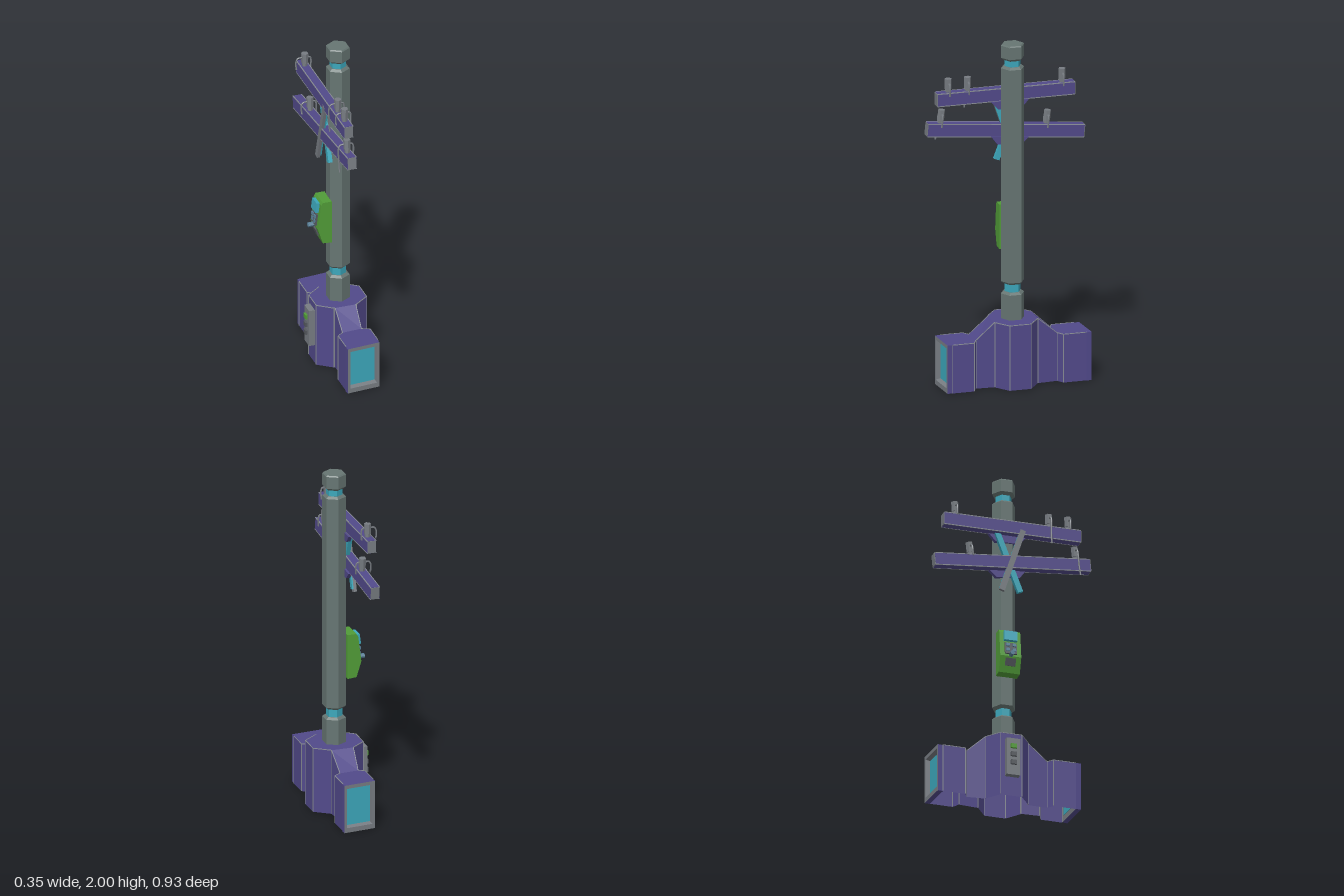
import * as THREE from 'three';

const mat = (name, color) => {
  const m = new THREE.MeshStandardMaterial({ color, flatShading: true });
  m.name = name;
  return m;
};

export function createModel() {
  const root = new THREE.Group();
  root.name = 'utilityPole';
  const stone = mat('pole grey', 0x667572);
  const metal = mat('metal grey', 0x777c82);
  const trim = mat('worn edge grey', 0x888c94);
  const dark = mat('dark grey', 0x55595f);
  const purple = mat('purple', 0x51498a);
  purple.side = THREE.DoubleSide;
  const teal = mat('teal', 0x3ca7bb);
  const green = mat('green', 0x519c38);
  const blue = mat('blue grey', 0x587f98);

  const add = (name, geo, material, pos = [0, 0, 0], parent = root) => {
    const m = new THREE.Mesh(geo, material);
    m.name = name;
    m.position.set(...pos);
    parent.add(m);
    return m;
  };
  const box = (name, size, material, pos, parent) =>
    add(name, new THREE.BoxGeometry(...size), material, pos, parent);
  // outline extruded along z, centred on z
  const plateShape = (name, pts, z, depth, material) => {
    const s = new THREE.Shape(pts.map(([a, b]) => new THREE.Vector2(a, b)));
    const g = new THREE.ExtrudeGeometry(s, { depth, bevelEnabled: false }).translate(0, 0, -depth / 2);
    return add(name, g, material, [0, 0, z]);
  };
  const triangles = (v) => {
    const g = new THREE.BufferGeometry();
    g.setAttribute('position', new THREE.Float32BufferAttribute(v, 3));
    g.computeVertexNormals();
    return g;
  };
  // flat convex face as a fan
  const fan = (pts) => {
    const v = [];
    for (let i = 1; i < pts.length - 1; i++) v.push(...pts[0], ...pts[i], ...pts[i + 1]);
    return triangles(v);
  };
  // strip of quads between rectangular rings [halfWidth, y0, y1, z]
  const loft = (rings) => {
    const v = [];
    const corners = ([w, y0, y1, z]) => [[-w, y0, z], [w, y0, z], [w, y1, z], [-w, y1, z]];
    for (let i = 0; i < rings.length - 1; i++) {
      const a = corners(rings[i]), b = corners(rings[i + 1]);
      for (let k = 0; k < 4; k++) {
        const n = (k + 1) % 4;
        v.push(...a[k], ...a[n], ...b[n], ...a[k], ...b[n], ...b[k]);
      }
    }
    return triangles(v);
  };
  // thin worn strip along an edge
  const edge = (a, b) => {
    const p = new THREE.Vector3(...a), q = new THREE.Vector3(...b);
    const m = box('wornEdge', [0.004, 0.004, p.distanceTo(q)], trim, p.clone().lerp(q, 0.5).toArray());
    m.lookAt(q);
  };

  // Hexagonal pole, in sections with teal collars
  const PX = 0.0222, PZ = -0.015, R = 0.068;
  const hex = (name, y0, y1, r0, r1, material) =>
    add(name, new THREE.CylinderGeometry(r1, r0, y1 - y0, 6), material, [PX, (y0 + y1) / 2, PZ]);
  hex('poleFoot', 0.37, 0.53, R, R, stone);
  hex('poleFootTaper', 0.53, 0.542, R, 0.052, stone);
  hex('lowerCollar', 0.54, 0.592, 0.047, 0.047, teal);
  hex('poleShaftBottom', 0.588, 0.602, 0.052, R, stone);
  hex('poleShaft', 0.602, 1.86, R, R, stone);
  hex('poleShaftTop', 1.86, 1.872, R, 0.052, stone);
  hex('upperCollar', 1.87, 1.912, 0.047, 0.047, teal);
  hex('capTaper', 1.908, 1.922, 0.052, R, stone);
  hex('cap', 1.922, 1.993, R, R, stone);
  hex('capTop', 1.993, 2, R, R - 0.006, stone);

  // Hollow base, open below: each side is a wall along an outline of [x, z, height]
  const H = 0.383, L = 0.285;
  const rightSide = [[0.125, 0.365, L], [0.125, 0.238, L], [0.08, 0.216, L], [0.085, 0.108, H],
    [0.09, 0.108, H], [0.172, 0.045, H], [0.172, -0.08, H], [0.085, -0.145, H],
    [0.076, -0.26, L], [0.116, -0.285, L], [0.116, -0.42, L]];
  const leftSide = [[-0.07, 0.382, L], [-0.07, 0.25, L], [-0.035, 0.224, L], [-0.038, 0.108, H],
    [-0.045, 0.108, H], [-0.128, 0.045, H], [-0.128, -0.08, H], [-0.045, -0.145, H],
    [-0.035, -0.252, L], [-0.07, -0.27, L], [-0.07, -0.402, L]];
  const up = ([x, z, h]) => [x, h, z];
  const wall = (name, line) => {
    for (let i = 0; i < line.length - 1; i++) {
      const [a, b] = [line[i], line[i + 1]];
      add(name, fan([[a[0], 0, a[1]], [b[0], 0, b[1]], up(b), up(a)]), purple);
      edge(up(a), up(b));
      edge([a[0], 0.002, a[1]], up(a));
    }
  };
  wall('baseRightWall', rightSide);
  wall('baseLeftWall', [...leftSide].reverse());
  // tops between matching stretches of the two sides
  for (const [name, i, j] of [['frontWingTop', 0, 2], ['frontNeckTop', 2, 3], ['bodyTop', 4, 7],
    ['backNeckTop', 7, 8], ['backWingTop', 8, 10]]) {
    add(name, fan([...rightSide.slice(i, j + 1), ...leftSide.slice(i, j + 1).reverse()].map(up)), purple);
  }

  // Recessed window at each wing end
  const windowEnd = (name, pos, turn, w) => {
    const g = new THREE.Group();
    g.name = name;
    g.position.set(...pos);
    g.rotation.y = turn;
    root.add(g);
    add('windowSurround', loft([[w, 0, L, -0.031], [w, 0, L, 0]]), purple, [0, 0, 0], g);
    add('windowFrame', loft([[w, 0, L, 0], [w - 0.015, 0.028, 0.264, 0],
      [w - 0.019, 0.036, 0.256, -0.026]]), metal, [0, 0, 0], g);
    add('windowFrameBack', loft([[w - 0.019, 0.036, 0.256, -0.031], [w, 0, L, -0.031]]), metal, [0, 0, 0], g);
    box('windowPane', [2 * w - 0.036, 0.222, 0.006], teal, [0, 0.146, -0.029], g);
  };
  windowEnd('frontWindow', [0.0275, 0, 0.4035], 0.087, 0.098);
  windowEnd('backWindow', [0.023, 0, -0.441], Math.PI + 0.097, 0.094);

  // Switch panel on the base
  box('switchPanel', [0.036, 0.225, 0.08], metal, [-0.145, 0.228, -0.016]);
  [0.29, 0.24, 0.19].forEach((y, i) =>
    box('switchButton', [0.014, 0.026, 0.034], i === 0 ? green : dark, [-0.169, y, -0.016]));

  // Call box on the pole
  plateShape('callBox', [[-0.035, 0.772], [-0.088, 0.776], [-0.117, 0.868], [-0.098, 1.02],
    [-0.088, 1.036], [-0.035, 1.036]], -0.017, 0.124, green);
  const tilted = (name, size, material, pos) => {
    box(name, size, material, pos).rotation.z = -0.13;
  };
  tilted('callScreen', [0.022, 0.06, 0.076], teal, [-0.109, 0.993, -0.017]);
  tilted('keypad', [0.014, 0.07, 0.07], dark, [-0.113, 0.915, -0.017]);
  for (const y of [0.935, 0.905])
    for (const z of [-0.036, 0.002]) tilted('key', [0.01, 0.018, 0.02], blue, [-0.121, y, z]);
  const knob = add('callKnob', new THREE.CylinderGeometry(0.014, 0.014, 0.036, 6), blue, [-0.138, 0.875, -0.017]);
  knob.rotation.z = Math.PI / 2;
  const plate = box('lowerPlate', [0.014, 0.045, 0.06], dark, [-0.108, 0.835, -0.017]);
  plate.rotation.z = 0.32;

  // Crossarms with worn edges, end plates, insulators and hooked wires
  const AX = -0.063;
  const tube = (name, pts, parent) => add(name, new THREE.TubeGeometry(
    new THREE.CatmullRomCurve3(pts.map((p) => new THREE.Vector3(...p)), false, 'centripetal'),
    14, 0.005, 5), metal, [0, 0, 0], parent);
  const crossarm = (name, y, z, length, tilt, insulators) => {
    const g = new THREE.Group();
    g.name = name;
    g.position.set(AX, y, z);
    g.rotation.x = tilt;
    root.add(g);
    box('armBeam', [0.054, 0.075, length - 0.008], purple, [0, 0, 0], g);
    for (const s of [-1, 1]) {
      box('armEnd', [0.05, 0.071, 0.005], metal, [0, 0, s * (length / 2 - 0.0025)], g);
      for (const t of [-1, 1])
        box('armWornEdge', [0.005, 0.005, length - 0.006], trim, [s * 0.0255, t * 0.036, 0], g);
    }
    for (const [iz, drop] of insulators) {
      add('insulatorStem', new THREE.CylinderGeometry(0.016, 0.016, 0.03, 6), metal, [0, 0.05, iz], g);
      add('insulatorCap', new THREE.CylinderGeometry(0.021, 0.02, 0.06, 6), metal, [0, 0.086, iz], g);
      const end = drop ? -drop : 0.02;
      tube('leftWire', [[-0.012, 0.09, iz], [-0.04, 0.088, iz], [-0.051, 0.07, iz],
        [-0.051, (end + 0.04) / 2, iz], [-0.05, end, iz + 0.004]], g);
      tube('rightWire', [[0.012, 0.09, iz], [0.03, 0.088, iz], [0.037, 0.07, iz], [0.035, 0.02, iz]], g);
    }
  };
  crossarm('upperArm', 1.682, 0.003, 0.81, 0, [[0.333, 0], [0.22, 0.08], [-0.333, 0]]);
  crossarm('lowerArm', 1.467, 0.004, 0.925, -0.096, [[0.383, 0.075], [-0.24, 0]]);

  // Crossed braces joining the arms to the pole
  const brace = (name, x, thick, za, ya, zb, yb, material) => {
    const m = box(name, [thick, Math.hypot(za - zb, ya - yb), 0.032], material,
      [x, (ya + yb) / 2, (za + zb) / 2]);
    m.rotation.x = Math.atan2(za - zb, ya - yb);
  };
  brace('outerBrace', -0.083, 0.018, 0.065, 1.67, -0.06, 1.285, metal);
  brace('outerBraceBacking', -0.07, 0.008, 0.065, 1.67, -0.055, 1.3, teal);
  brace('innerBrace', -0.052, 0.024, -0.085, 1.67, 0.058, 1.3, teal);
  // Gussets under each arm
  for (const [y, tilt] of [[1.646, 0], [1.432, -0.096]]) {
    const g = plateShape('armGusset', [[-0.11, 0], [-0.07, -0.045], [0.07, -0.045], [0.11, 0]], PZ, 0.024, purple);
    g.position.set(-0.036, y, PZ);
    g.rotation.set(tilt, -Math.PI / 2, 0);
  }
  return root;
}
